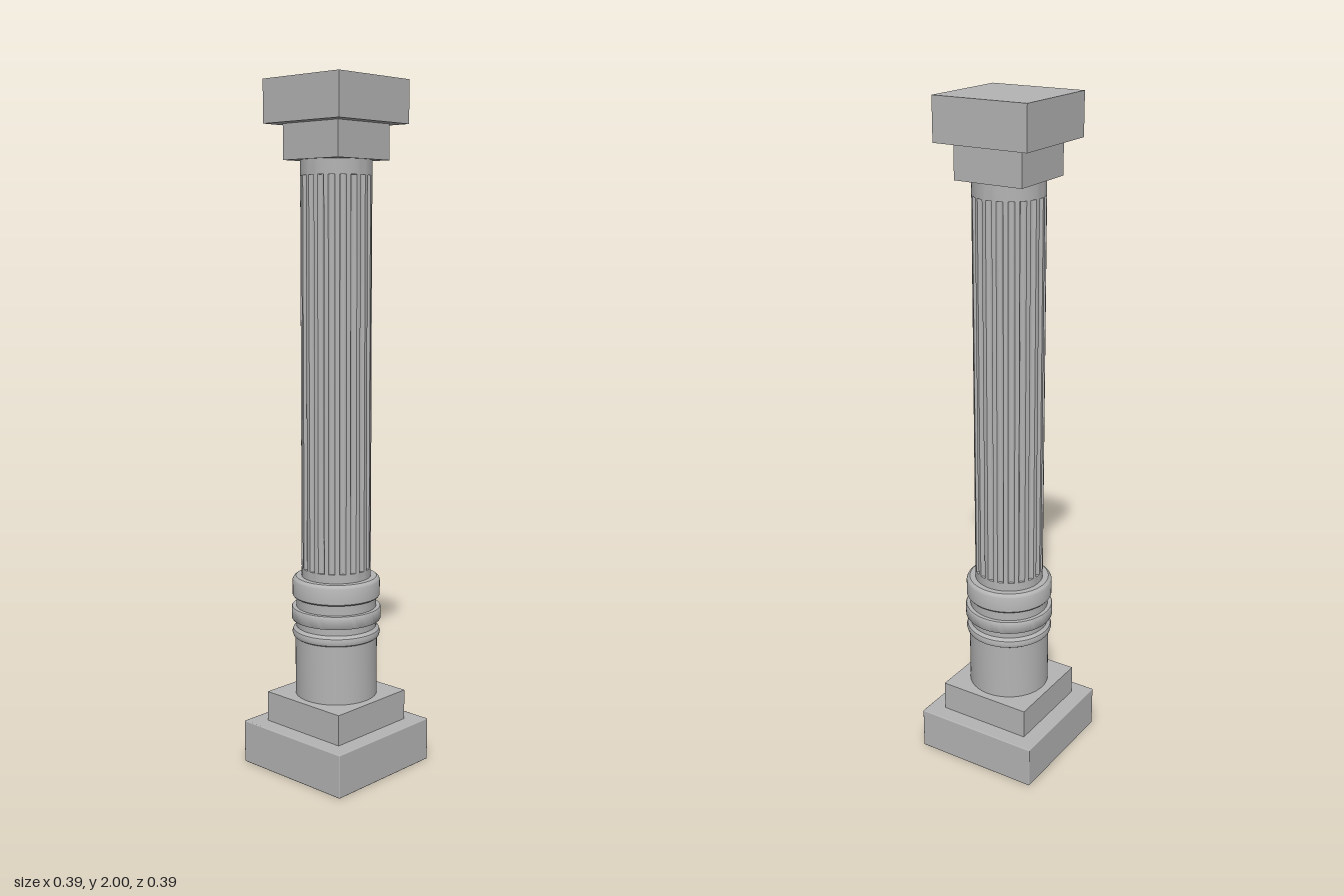
import * as THREE from 'three';
import { toCreasedNormals } from 'three/addons/utils/BufferGeometryUtils.js';
import { RoundedBoxGeometry } from 'three/addons/geometries/RoundedBoxGeometry.js';

export function createModel() {
  const group = new THREE.Group();
  const stone = new THREE.MeshStandardMaterial({ color: 0xb4b4b4 });
  stone.name = 'grey stone';

  const add = (name, geometry, y = 0) => {
    const mesh = new THREE.Mesh(geometry, stone);
    mesh.name = name;
    mesh.position.y = y;
    group.add(mesh);
  };
  const block = (name, width, y0, y1) =>
    add(name, new THREE.BoxGeometry(width, y1 - y0, width), (y0 + y1) / 2);
  const turned = (name, profile) => {
    const points = profile.map(([r, y]) => new THREE.Vector2(r, y));
    add(name, toCreasedNormals(new THREE.LatheGeometry(points, 64), 0.6));
  };

  // Square base and capital
  add('plinth', new RoundedBoxGeometry(0.39, 0.128, 0.39, 2, 0.003), 0.064);
  block('upperPlinth', 0.29, 0.128, 0.218);
  block('capitalNeck', 0.212, 1.878 - 0.1, 1.878);
  block('abacus', 0.29, 1.878, 2);

  // Round drum and the stacked mouldings above it
  turned('drum', [[0, 0.218], [0.121, 0.218], [0.121, 0.4], [0, 0.4]]);
  turned('mouldings', [
    [0, 0.393], [0.121, 0.393], [0.127, 0.397], [0.13, 0.407], [0.127, 0.417], [0.121, 0.421],
    [0.118, 0.425], [0.118, 0.447],
    [0.13, 0.447], [0.132, 0.45], [0.132, 0.482], [0.13, 0.485],
    [0.118, 0.485], [0.118, 0.516],
    [0.126, 0.516], [0.129, 0.52], [0.129, 0.565], [0.126, 0.571], [0.119, 0.576], [0, 0.576],
  ]);

  // Plain collars at both ends of the shaft
  const collar = (name, y0, y1) => turned(name, [[0, y0], [0.102, y0], [0.102, y1], [0, y1]]);
  collar('lowerCollar', 0.574, 0.602);
  collar('upperCollar', 1.735, 1.78);

  // Fluted shaft: round grooves between narrow flat fillets
  const flutes = 20, steps = 8, grooveShare = 0.6, radius = 0.102, depth = 0.009;
  const outline = [];
  for (let i = 0; i < flutes; i++) {
    for (let j = 0; j <= steps; j++) {
      const t = (j / steps) * 2 - 1;
      const angle = ((i + (t * grooveShare) / 2) / flutes) * Math.PI * 2;
      const r = radius - depth * Math.sqrt(1 - t * t);
      outline.push(new THREE.Vector2(r * Math.cos(angle), r * Math.sin(angle)));
    }
  }
  const shaft = new THREE.ExtrudeGeometry(new THREE.Shape(outline), {
    depth: 1.735 - 0.602, bevelEnabled: false,
  });
  shaft.rotateX(-Math.PI / 2);
  add('flutedShaft', toCreasedNormals(shaft, 0.7), 0.602);

  return group;
}
